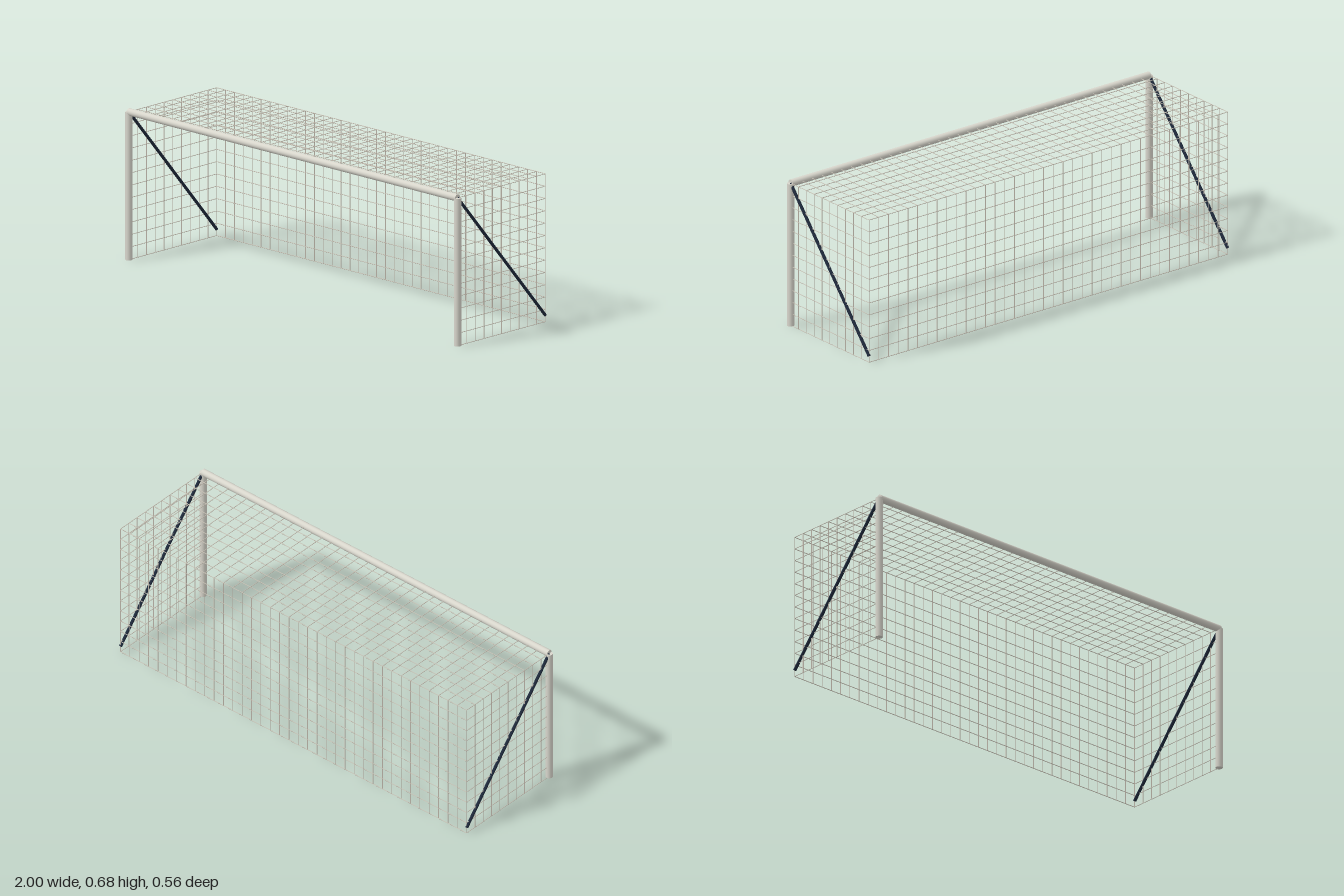
import * as THREE from 'three';
import { mergeGeometries } from 'three/addons/utils/BufferGeometryUtils.js';

// Main dimensions
const HALF = 0.984, TOP = 0.659, FRONT = 0.264, BACK = -0.274;
const R_POST = 0.016, R_BRACE = 0.007, R_CORD = 0.0016;
const COLS = 37, ROWS = 12, DEPTHS = 10;

// Straight round bar between two points
function bar(a, b, radius, sides) {
  const from = new THREE.Vector3(...a), to = new THREE.Vector3(...b);
  const dir = to.clone().sub(from);
  const geo = new THREE.CylinderGeometry(radius, radius, dir.length(), sides);
  const turn = new THREE.Quaternion().setFromUnitVectors(new THREE.Vector3(0, 1, 0), dir.normalize());
  geo.applyQuaternion(turn);
  const mid = from.add(to).multiplyScalar(0.5);
  return geo.translate(mid.x, mid.y, mid.z);
}

// Rectangular net: origin corner plus two edge vectors, split into nu by nv cells
function net(origin, u, v, nu, nv) {
  const at = (s, t) => origin.map((o, i) => o + u[i] * s + v[i] * t);
  const cords = [];
  for (let i = 0; i <= nu; i++) cords.push(bar(at(i / nu, 0), at(i / nu, 1), R_CORD, 6));
  for (let j = 0; j <= nv; j++) cords.push(bar(at(0, j / nv), at(1, j / nv), R_CORD, 6));
  return mergeGeometries(cords);
}

export function createModel() {
  const group = new THREE.Group();
  const frameMat = new THREE.MeshStandardMaterial({ color: 0xd8d6cc });
  frameMat.name = 'off-white frame';
  const braceMat = new THREE.MeshStandardMaterial({ color: 0x1e293b });
  braceMat.name = 'navy brace';
  const netMat = new THREE.MeshStandardMaterial({ color: 0xccc5b8 });
  netMat.name = 'pale net cord';

  const add = (name, geo, mat) => {
    const mesh = new THREE.Mesh(geo, mat);
    mesh.name = name;
    group.add(mesh);
  };

  // Crossbar
  add('crossbar', bar([-HALF, TOP, FRONT], [HALF, TOP, FRONT], R_POST, 16), frameMat);

  const y0 = R_CORD, height = TOP - y0, depth = BACK - FRONT;

  // Posts, diagonal braces and side nets, one set per side
  for (const [side, x] of [['left', HALF], ['right', -HALF]]) {
    add(side + 'Post', bar([x, y0, FRONT], [x, TOP, FRONT], R_POST, 16), frameMat);
    add(side + 'Brace', bar([x, TOP, FRONT], [x, 0.03, BACK], R_BRACE, 8), braceMat);
    add(side + 'Net', net([x, y0, FRONT], [0, 0, depth], [0, height, 0], DEPTHS, ROWS), netMat);
  }

  // Back and roof nets
  add('backNet', net([-HALF, y0, BACK], [2 * HALF, 0, 0], [0, height, 0], COLS, ROWS), netMat);
  add('roofNet', net([-HALF, TOP, FRONT], [2 * HALF, 0, 0], [0, 0, depth], COLS, DEPTHS), netMat);

  return group;
}
